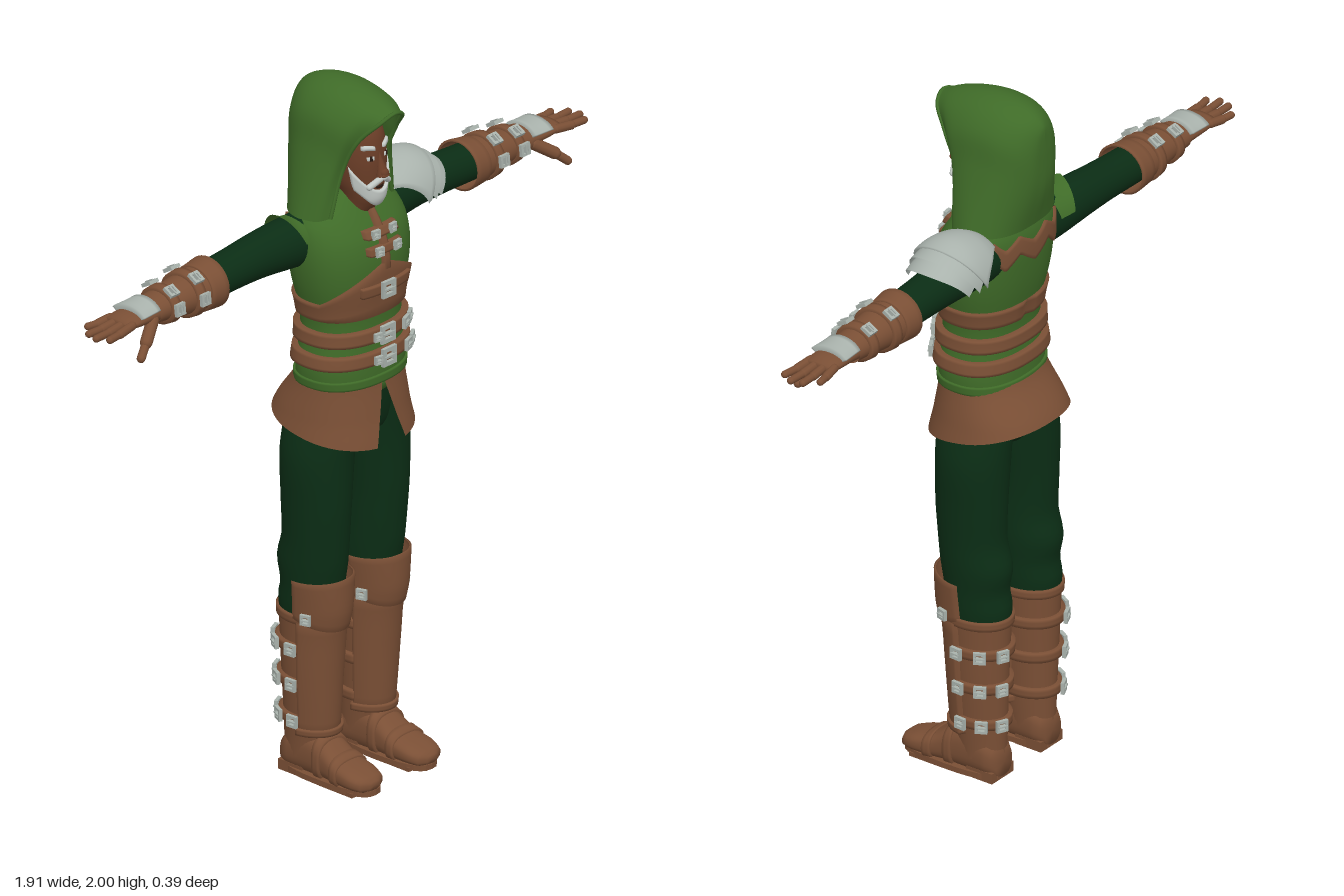
import * as THREE from 'three';
import { mergeVertices } from 'three/addons/utils/BufferGeometryUtils.js';

const PI = Math.PI;
const mat = (name, color) => new THREE.MeshStandardMaterial({ name, color, side: THREE.DoubleSide });
const green = mat('vest green', 0x3f6b28);
const dark = mat('dark green cloth', 0x0b2d15);
const brown = mat('brown leather', 0x7a4f35);
const skin = mat('skin', 0x6a3d27);
const silver = mat('silver metal', 0xa9b2ac);
const hair = mat('white hair', 0xc4cac6);
const black = mat('dark line', 0x2a1a12);

const val = (f, t) => (typeof f === 'function' ? f(t) : f);

function add(parent, name, geo, material, x = 0, y = 0, z = 0) {
  const m = new THREE.Mesh(geo, material);
  m.name = name;
  m.position.set(x, y, z);
  parent.add(m);
  return m;
}

// Smooth surface through rows of points
function grid(rows) {
  const pos = [], idx = [], c = rows[0].length;
  rows.forEach(r => r.forEach(p => pos.push(...p)));
  for (let i = 0; i < rows.length - 1; i++) for (let j = 0; j < c - 1; j++) {
    const k = i * c + j;
    idx.push(k, k + 1, k + c + 1, k, k + c + 1, k + c);
  }
  let g = new THREE.BufferGeometry();
  g.setAttribute('position', new THREE.Float32BufferAttribute(pos, 3));
  g.setIndex(idx);
  g = mergeVertices(g, 1e-5);
  g.computeVertexNormals();
  return g;
}

// Cross-section [cx, cz, rx, rz] of a body S = [[y, cx, cz, rx, rz], ...] at height y
function section(S, y) {
  let i = 0;
  while (i < S.length - 2 && y > S[i + 1][0]) i++;
  const u = THREE.MathUtils.clamp((y - S[i][0]) / (S[i + 1][0] - S[i][0]), 0, 1);
  const P = [S[Math.max(i - 1, 0)], S[i], S[i + 1], S[Math.min(i + 2, S.length - 1)]];
  return [1, 2, 3, 4].map(k => {
    const [a, b, c, d] = P.map(p => p[k]);
    return b + 0.5 * u * (c - a + u * (2 * a - 5 * b + 4 * c - d + u * (3 * (b - c) + d - a)));
  });
}
function point(S, a, y, off = 0, n = 2) {
  const [cx, cz, rx, rz] = section(S, y), e = 2 / n;
  const f = t => Math.sign(t) * Math.abs(t) ** e;
  return [cx + (rx + off) * f(Math.sin(a)), y, cz + (rz + off) * f(Math.cos(a))];
}

// Whole body, or a raised band over part of it; angle 0 is the front, positive toward +x
function wrap(parent, name, S, material, o = {}) {
  const { bot = S[0][0], top = S.at(-1)[0], a0 = 0, a1 = 2 * PI, off = 0, rows = 14, cols = 36, n = 2, cap } = o;
  const full = a0 === 0 && a1 === 2 * PI, R = [];
  const steps = [];
  for (let i = 0; i <= rows; i++) steps.push([i / rows, off]);
  if (off > 0) { steps.unshift([0, 0]); steps.push([1, 0]); }
  for (const [v, h] of steps) {
    const row = [], s = val(a0, v), e = val(a1, v);
    for (let j = 0; j <= cols; j++) {
      const a = full && j === cols ? 0 : s + (e - s) * j / cols;
      const y = val(bot, a) + (val(top, a) - val(bot, a)) * v;
      row.push(point(S, a, y, !full && off > 0 && (j === 0 || j === cols) ? 0 : h, n));
    }
    R.push(row);
  }
  if (cap) for (const end of [0, 1]) {
    const y = end ? S.at(-1)[0] : S[0][0], [cx, cz] = section(S, y);
    R[end ? 'push' : 'unshift'](R[0].map(() => [cx, y, cz]));
  }
  return add(parent, name, grid(R), material);
}

// Square buckle with a tongue, lying on a body
const frame = new THREE.Shape([[-1, -1], [1, -1], [1, 1], [-1, 1]].map(p => new THREE.Vector2(...p)));
frame.holes.push(new THREE.Path([[-.55, -.55], [-.55, .55], [.55, .55], [.55, -.55]].map(p => new THREE.Vector2(...p))));
function buckle(parent, S, a, y, size, off = 0.014) {
  const g = new THREE.Group(), [, , rx, rz] = section(S, y);
  g.name = 'buckle';
  g.position.set(...point(S, a, y, off));
  g.rotation.y = Math.atan2(Math.sin(a) / rx, Math.cos(a) / rz);
  const f = add(g, 'buckleFrame', new THREE.ExtrudeGeometry(frame, { depth: 0.01, bevelEnabled: false }), silver);
  f.scale.set(size, size, 1);
  add(g, 'buckleTongue', new THREE.BoxGeometry(size * 1.7, size * 0.25, 0.012), silver, 0, 0, 0.007);
  parent.add(g);
}

function capsule(parent, name, p, q, r, material) {
  const a = new THREE.Vector3(...p), b = new THREE.Vector3(...q), d = b.clone().sub(a);
  const m = add(parent, name, new THREE.CapsuleGeometry(r, d.length(), 5, 10), material);
  m.position.copy(a).add(b).multiplyScalar(0.5);
  m.quaternion.setFromUnitVectors(new THREE.Vector3(0, 1, 0), d.normalize());
}

function buildTorso(g) {
  const S = [[1.13, 0, .005, .157, .117], [1.2, 0, .007, .163, .116], [1.3, 0, .008, .15, .108], [1.37, 0, .006, .154, .111],
    [1.45, 0, .004, .173, .125], [1.52, 0, 0, .182, .13], [1.58, 0, -.008, .18, .125], [1.63, 0, -.02, .165, .108],
    [1.67, 0, -.025, .115, .085], [1.7, 0, -.02, .06, .06]];
  wrap(g, 'vest', S, green, { rows: 30, n: 2.3, cap: true });
  const band = (name, o, m = brown) => wrap(g, name, S, m, { n: 2.3, off: .01, rows: 5, cols: 48, ...o });
  // bodice rising to a point at the chest
  band('bodice', { bot: 1.355, top: a => 1.405 + .105 * Math.max(0, 1 - Math.abs(a) / 1.3), a0: -PI, a1: PI });
  band('upperBelt', { bot: 1.282, top: 1.32, off: .018 });
  band('lowerBelt', { bot: 1.218, top: 1.254, off: .016 });
  band('vestHem', { bot: 1.155, top: 1.18, off: .006 }, green);
  // zigzag yoke across the back
  const zig = a => Math.abs(((a - PI) / .55 + 20.5) % 1 - .5) * 2;
  band('backYoke', { a0: PI - 1.15, a1: PI + 1.15, bot: a => 1.535 + .04 * zig(a), top: a => 1.595 + .03 * zig(a), off: .007 });
  // laced front
  band('placket', { a0: -.05, a1: .05, bot: 1.49, top: 1.655, cols: 6, off: .012 });
  for (const y of [1.55, 1.595]) {
    band('laceStrap', { a0: -.3, a1: .3, bot: y - .011, top: y + .011, cols: 12, off: .016 });
    for (const a of [-.17, .17]) buckle(g, S, a, y, .013, .016);
  }
  band('chestStrap', { a0: -.5, a1: .5, bot: 1.425, top: 1.455, cols: 16, off: .02 });
  buckle(g, S, -.06, 1.44, .024, .022);
  for (const y of [1.301, 1.236]) {
    buckle(g, S, 0, y, .026, .02);
    for (const a of [.5, .75]) buckle(g, S, a, y, .016, .024);
    buckle(g, S, -.22, y, .012, .024);
  }
  // split skirt with a hem rising at the back
  const K = [[.96, 0, -.032, .203, .195], [1.06, 0, -.025, .183, .168], [1.18, 0, .004, .16, .119]];
  wrap(g, 'skirt', K, brown, { a0: v => .24 * (1 - v), a1: v => 2 * PI - .24 * (1 - v),
    bot: a => 1.022 - .038 * Math.cos(a), top: 1.172, cols: 48, n: 2.2 });
  wrap(g, 'hips', [[.97, 0, -.015, .05, .07], [1.0, 0, -.013, .14, .1], [1.06, 0, -.01, .165, .112], [1.16, 0, 0, .15, .11]],
    dark, { cap: true });
}

function buildHead(g) {
  const S = [[1.6, 0, -.01, .06, .06], [1.655, 0, .03, .046, .06], [1.685, 0, .045, .05, .065], [1.73, 0, .033, .066, .08],
    [1.8, 0, .02, .077, .094], [1.87, 0, .01, .074, .09], [1.92, 0, 0, .05, .06], [1.94, 0, 0, .01, .01]];
  wrap(g, 'head', S, skin, { rows: 24, cap: true });
  wrap(g, 'beard', S, hair, { a0: -1.15, a1: 1.15, off: .009, bot: a => 1.665 + .06 * (a / 1.15) ** 2,
    top: a => 1.712 + .075 * (a / 1.15) ** 2, rows: 6 });
  wrap(g, 'mouth', S, black, { a0: -.22, a1: .22, bot: 1.719, top: 1.725, off: .004, rows: 2, cols: 6 });
  for (const s of [-1, 1]) {
    capsule(g, 'moustache', [s * .008, 1.747, .121], [s * .036, 1.728, .108], .009, hair);
    const patch = (name, m, p, q, bot, top, off) => wrap(g, name, S, m,
      { a0: Math.min(s * p, s * q), a1: Math.max(s * p, s * q), bot, top, off, rows: 2, cols: 8 });
    patch('eyebrow', hair, .17, .68, a => 1.823 + .012 * Math.sin(Math.abs(a) * 3), a => 1.834 + .012 * Math.sin(Math.abs(a) * 3), .007);
    patch('eye', hair, .24, .52, 1.804, 1.814, .003);
    patch('pupil', black, .33, .43, 1.803, 1.815, .005);
  }
  const nose = add(g, 'nose', new THREE.ConeGeometry(.019, .07, 10), skin, 0, 1.79, .117);
  nose.rotation.x = -.2;
  add(g, 'noseTip', new THREE.SphereGeometry(.015, 12, 8), skin, 0, 1.765, .126);

  // hood: arches from the peaked opening to the back
  // [top y, top z, bottom y, bottom z, half width, bottom half width, depth held down the sides]
  const arches = [[1.95, .165, 1.645, .045, .088, .12, 0], [1.972, .12, 1.64, .025, .112, .15, .25], [1.992, .05, 1.64, -.005, .122, .163, .45],
    [2.0, -.02, 1.64, -.04, .124, .166, .6], [1.993, -.09, 1.64, -.08, .116, .15, .8], [1.972, -.14, 1.64, -.112, .09, .115, .9],
    [1.945, -.165, 1.64, -.13, .05, .065, 1], [1.92, -.17, 1.64, -.135, 0, 0, 1]];
  const rows = arches.map(([yt, zt, yb, zb, w, wb, k]) => {
    const f = [1, .9, .5, .12, 0].map((q, i) => q + ([1, 1, 1, .85, 0][i] - q) * k);
    const half = [[0, yt], [.5 * w, yt - .02], [.86 * w, yt - .075], [w, yt - .17], [wb, yb]]
      .map(([x, y], i) => new THREE.Vector3(x, y, zb + (zt - zb) * f[i]));
    const pts = half.slice(1).reverse().map(p => p.clone().setX(-p.x)).concat(half);
    return new THREE.CatmullRomCurve3(pts).getPoints(48).map(p => p.toArray());
  });
  // smooth between arches
  const cols = rows[0].map((_, j) => new THREE.CatmullRomCurve3(rows.map(r => new THREE.Vector3(...r[j]))).getPoints(28));
  add(g, 'hood', grid(cols[0].map((_, i) => cols.map(c => c[i].toArray()))), green);
  // rolled edge of the opening
  add(g, 'hoodEdge', new THREE.TubeGeometry(new THREE.CatmullRomCurve3(rows[0].map(p => new THREE.Vector3(...p))), 48, .006, 6), green);
}

function buildLeg(g) {
  wrap(g, 'trouserLeg', [[.44, .11, -.035, .07, .085], [.51, .11, -.03, .077, .1], [.56, .11, -.027, .078, .093], [.63, .111, -.027, .082, .104],
    [.7, .112, -.015, .082, .098], [.8, .113, -.012, .085, .102], [.95, .108, -.013, .094, .105], [1.08, .09, -.01, .085, .108]], dark, { rows: 30 });
  const B = [[.06, .108, -.045, .055, .07], [.14, .108, -.038, .06, .078], [.3, .11, -.035, .069, .085], [.42, .11, -.033, .074, .092], [.49, .11, -.03, .078, .098]];
  wrap(g, 'bootShaft', B, brown, { rows: 14 });
  wrap(g, 'bootCuff', B, brown, { bot: .465, top: .49, off: .007, rows: 3 });
  wrap(g, 'shinGuard', B, brown, { a0: -1.45, a1: 1.45, bot: .14, top: .47, off: .01, rows: 10 });
  wrap(g, 'shinGuardHem', B, brown, { a0: -1.5, a1: 1.5, bot: .135, top: .155, off: .017, rows: 3 });
  // flared knee guard
  const N = [[.44, .11, -.025, .076, .1], [.5, .11, -.016, .08, .103], [.61, .11, -.012, .089, .101]];
  wrap(g, 'kneeGuard', N, brown, { a0: -1.7, a1: 1.7, bot: a => .45 + .012 * a * a, top: a => .602 - .006 * Math.abs(a), off: .006, rows: 8 });
  // straps and buckles round the calf
  for (const y of [.39, .285, .175]) {
    wrap(g, 'calfStrap', B, brown, { a0: 1.25, a1: 2 * PI - 1.25, bot: y - .014, top: y + .014, off: .012, rows: 3 });
    for (const a of [1.5, 2.15, 2.8]) buckle(g, B, a, y, .017);
  }
  for (const a of [-1.2, 1.2]) buckle(g, N, a, .49, .015, .008);
  // foot, laid along z
  const F = [[-.115, .108, -.05, .035, .04], [-.09, .108, -.065, .053, .055], [-.02, .108, -.075, .055, .068], [.04, .109, -.066, .054, .056],
    [.09, .111, -.05, .057, .038], [.15, .113, -.042, .058, .028], [.185, .113, -.036, .045, .021], [.198, .113, -.034, .02, .012]];
  const foot = new THREE.Group();
  foot.name = 'foot';
  foot.rotation.x = PI / 2;
  g.add(foot);
  wrap(foot, 'shoe', F, brown, { n: 2.6, rows: 24, cap: true });
  wrap(foot, 'toeCapBand', F, brown, { n: 2.6, bot: .085, top: .11, off: .006, rows: 3 });
  wrap(foot, 'instepBand', F, brown, { n: 2.6, bot: .02, top: .045, off: .007, rows: 3 });
  const sole = new THREE.Shape(Array.from({ length: 28 }, (_, i) => {
    const a = i / 28 * 2 * PI, c = Math.cos(a), s = Math.sin(a);
    return new THREE.Vector2(.11 + .058 * Math.sign(s) * Math.abs(s) ** .7, .042 + .157 * Math.sign(c) * Math.abs(c) ** .8);
  }));
  add(foot, 'sole', new THREE.ExtrudeGeometry(sole, { depth: .016, bevelEnabled: false }), brown, 0, 0, -.021);
  add(g, 'heel', new THREE.BoxGeometry(.095, .03, .085), brown, .108, .015, -.068);
  add(g, 'toeTread', new THREE.BoxGeometry(.1, .012, .12), brown, .111, .006, .1);
}

// Arm is built along y, then laid along x: angle -PI/2 is its top
function buildArm(g, pauldron) {
  const arm = new THREE.Group(), up = -PI / 2;
  arm.name = 'arm';
  arm.rotation.z = -PI / 2;
  arm.position.set(0, 1.557, -.055);
  g.add(arm);
  wrap(arm, 'sleeve', [[.1, -.01, .01, .075, .07], [.2, -.012, .004, .07, .067], [.3, -.012, 0, .062, .061], [.4, -.008, 0, .056, .057], [.52, -.003, 0, .053, .056]], dark);
  const B = [[.488, -.002, 0, .066, .07], [.53, 0, 0, .061, .066], [.6, 0, 0, .054, .06], [.67, 0, 0, .044, .053], [.73, 0, 0, .037, .05]];
  wrap(arm, 'bracer', B, brown, { rows: 12 });
  wrap(arm, 'bracerCuff', B, brown, { bot: .488, top: .545, off: .006, rows: 4 });
  for (const y of [.585, .675]) {
    wrap(arm, 'bracerStrap', B, brown, { bot: y - .014, top: y + .014, off: .01, rows: 3 });
    for (const a of [up - .6, up + .6, -.1]) buckle(arm, B, a, y, .017, .012);
  }
  // gloved hand
  const H = [[.69, 0, 0, .036, .046], [.75, 0, 0, .027, .046], [.81, -.002, 0, .021, .049], [.85, -.002, 0, .014, .045]];
  wrap(arm, 'palm', H, brown, { cap: true });
  wrap(arm, 'handPlate', H, silver, { a0: up - 1.2, a1: up + 1.2, bot: .735, top: .8, off: .016, rows: 5 });
  [[-.039, .905], [-.013, .938], [.013, .946], [.038, .928]].forEach(([z, tip]) => {
    capsule(arm, 'finger', [-.002, .83, z], [.003, (tip + .84) / 2, z * 1.15], .0125, brown);
    capsule(arm, 'fingerTip', [.003, (tip + .84) / 2, z * 1.15], [.002, tip, z * 1.3], .0105, brown);
  });
  capsule(arm, 'thumb', [.012, .745, .035], [.05, .8, .062], .017, brown);
  capsule(arm, 'thumbTip', [.05, .8, .062], [.08, .835, .076], .012, brown);

  if (pauldron) {
    // three overlapping shoulder plates
    const P = [[.14, 0, 0, .09, .09], [.2, 0, 0, .118, .11], [.27, 0, 0, .128, .115], [.34, 0, 0, .108, .11], [.39, 0, 0, .082, .095]];
    for (let k = 0; k < 3; k++) wrap(arm, 'shoulderPlate', P, silver, { a0: v => up - .75 - .75 * v, a1: v => up + .75 + .75 * v,
      bot: .155, top: a => .32 + .032 * k - .06 * ((a - up) / 1.4) ** 2, off: .006 - .009 * k, rows: 10 });
  } else {
    // small flared cloth flap
    wrap(arm, 'shoulderFlap', [[.14, 0, .005, .08, .075], [.19, 0, .005, .086, .082], [.228, 0, .005, .104, .088]], green,
      { a0: up - 1.2, a1: up + 1.2, top: a => .228 - .03 * Math.abs(a - up), rows: 6 });
  }
}

export function createModel() {
  const model = new THREE.Group();
  model.name = 'hoodedRanger';
  const parts = name => { const g = new THREE.Group(); g.name = name; model.add(g); return g; };
  buildTorso(parts('torso'));
  buildHead(parts('headAndHood'));
  for (const [s, side] of [[1, 'left'], [-1, 'right']]) {
    const leg = parts(side + 'Leg'), arm = parts(side + 'Arm');
    buildLeg(leg);
    buildArm(arm, s > 0);
    leg.scale.x = arm.scale.x = s;
  }
  return model;
}
